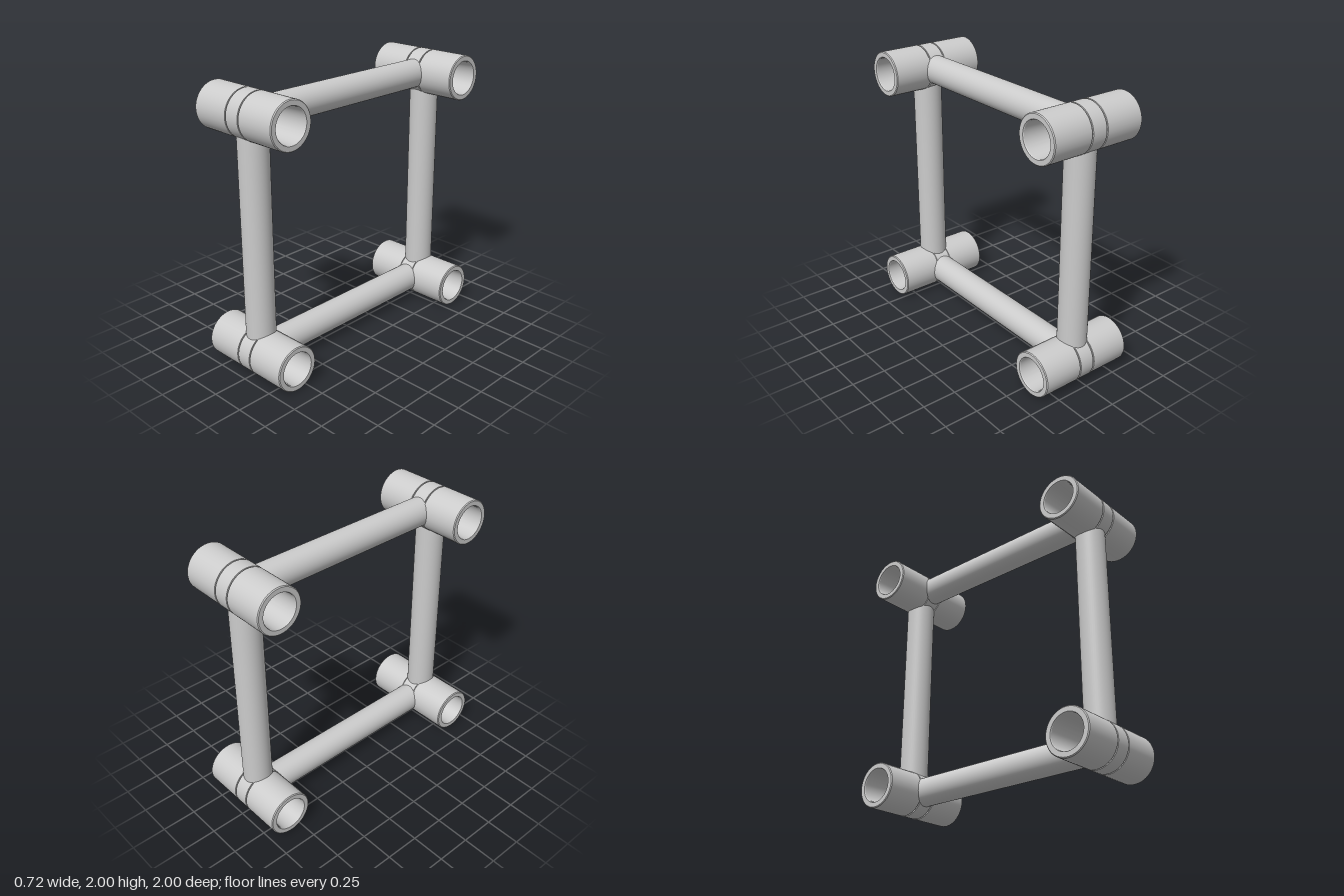
import * as THREE from 'three';
import { toCreasedNormals } from 'three/addons/utils/BufferGeometryUtils.js';

const CORNER = 0.837;       // distance of each socket axis from the frame centre
const R = 0.163;            // socket outer radius
const HALF = 0.36;          // socket half length
const PIPE_R = 0.104;
const PIPE_LENGTH = 2 * (CORNER - 0.116);

// Half of the socket profile, from the bore floor out to the middle of the wall
const halfProfile = [
  [0, 0.06], [0.108, 0.06], [0.12, HALF - 0.006], [0.124, HALF],
  [R - 0.006, HALF], [R, HALF - 0.006],
  [R, 0.065], [R - 0.009, 0.065], [R - 0.009, 0.055], [R, 0.055],
];

function socketGeometry() {
  const lower = halfProfile.map(([r, h]) => new THREE.Vector2(r, -h));
  const upper = halfProfile.map(([r, h]) => new THREE.Vector2(r, h)).reverse();
  const lathe = new THREE.LatheGeometry([...lower, ...upper], 64);
  return toCreasedNormals(lathe, 0.5).rotateZ(-Math.PI / 2);
}

export function createModel() {
  const group = new THREE.Group();
  const material = new THREE.MeshStandardMaterial({ color: 0xcccccc });
  const socket = socketGeometry();
  const pipe = new THREE.CylinderGeometry(PIPE_R, PIPE_R, PIPE_LENGTH, 48);

  const add = (name, geometry, y, z) => {
    const mesh = new THREE.Mesh(geometry, material);
    mesh.name = name;
    mesh.position.set(0, 1 + y, z);
    group.add(mesh);
    return mesh;
  };

  // Hollow sockets at the four corners
  for (const y of [-CORNER, CORNER]) {
    for (const z of [-CORNER, CORNER]) {
      add(`${y > 0 ? 'upper' : 'lower'}${z > 0 ? 'Front' : 'Back'}Socket`, socket, y, z);
    }
  }

  // Pipes joining the sockets into a square frame
  for (const s of [-1, 1]) {
    add(s > 0 ? 'frontPost' : 'backPost', pipe, 0, s * CORNER);
    add(s > 0 ? 'upperRail' : 'lowerRail', pipe, s * CORNER, 0).rotation.x = Math.PI / 2;
  }
  return group;
}
